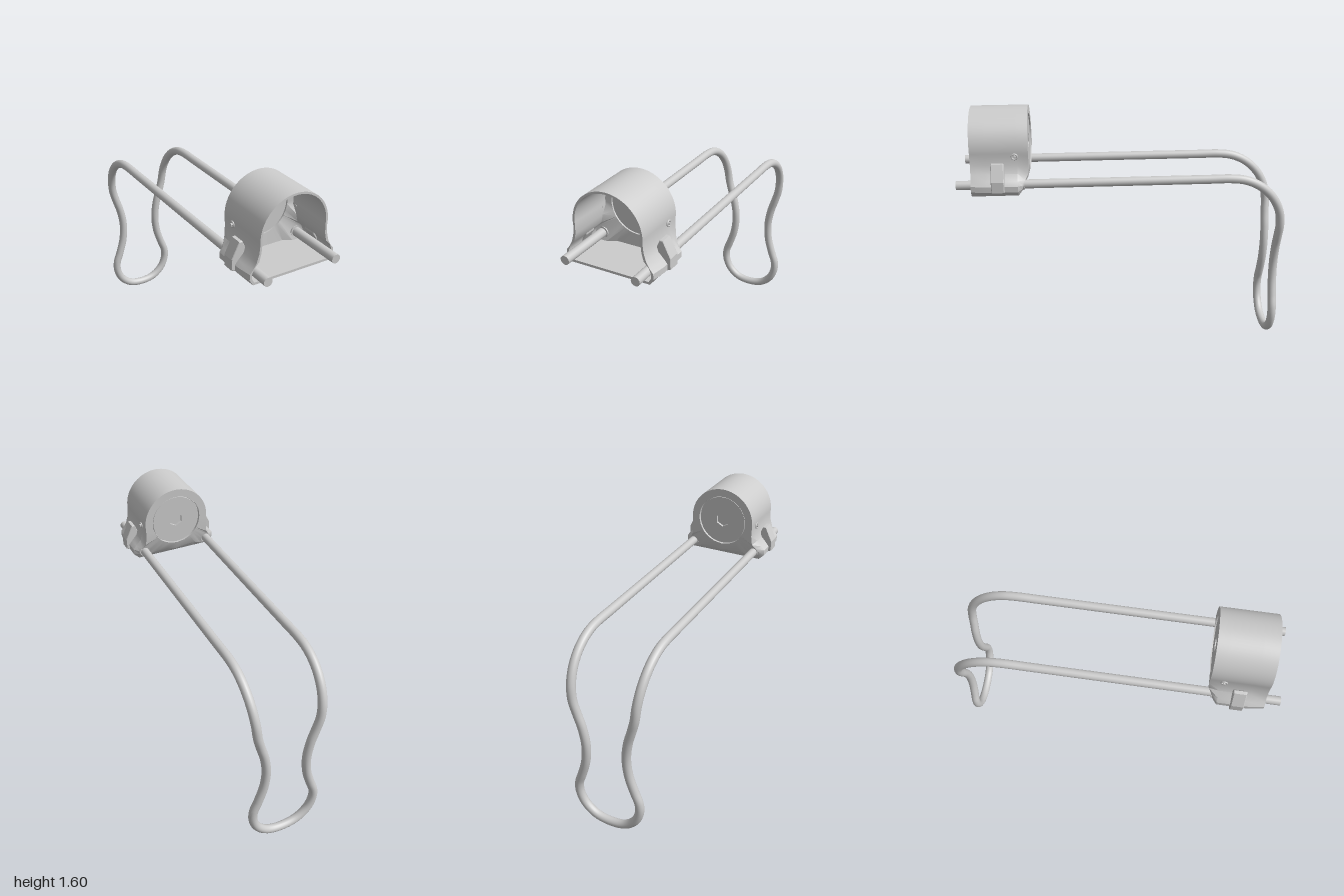
import * as THREE from 'three';
import { toCreasedNormals } from 'three/addons/utils/BufferGeometryUtils.js';

const CY = 1.385; // height of the housing bore axis
const ROD_X = 0.22, ROD_Y = 1.19, ROD_R = 0.027;

const material = new THREE.MeshStandardMaterial({ color: 0xcccccc });

function addMesh(parent, name, geometry, x = 0, y = 0, z = 0) {
  const mesh = new THREE.Mesh(geometry, material);
  mesh.name = name;
  mesh.position.set(x, y, z);
  parent.add(mesh);
  return mesh;
}

// Full symmetric ring: round crown plus a mirrored lower profile [x, y, z].
function ring(radius, z, lower) {
  const half = [];
  for (let i = 0; i <= 18; i++) {
    const a = (i / 18) * 1.68;
    half.push([radius * Math.sin(a), CY + radius * Math.cos(a), z]);
  }
  lower.forEach(([x, y, pz]) => half.push([x, y, pz ?? z]));
  const mirrored = half.slice(1, -1).reverse().map(([x, y, pz]) => [-x, y, pz]);
  return [...half, ...mirrored];
}

// Project a ring onto the round bore.
function boreRing(source, radius, z) {
  return source.map(([x, y]) => {
    const a = Math.atan2(y - CY, x);
    return [radius * Math.cos(a), CY + radius * Math.sin(a), z];
  });
}

// Skin a closed sequence of rings.
function loft(rings) {
  const n = rings[0].length, index = [];
  for (let i = 0; i < rings.length; i++) {
    const r0 = i * n, r1 = ((i + 1) % rings.length) * n;
    for (let j = 0; j < n; j++) {
      const k = (j + 1) % n;
      index.push(r0 + j, r1 + j, r0 + k, r1 + j, r1 + k, r0 + k);
    }
  }
  const geometry = new THREE.BufferGeometry();
  geometry.setAttribute('position', new THREE.Float32BufferAttribute(rings.flat(2), 3));
  geometry.setIndex(index);
  return toCreasedNormals(geometry, 0.55);
}

function housingGeometry() {
  const back = ring(0.215, 0.57, [
    [0.212, 1.31, 0.57], [0.218, 1.25, 0.575], [0.238, 1.22, 0.595], [0.255, 1.195, 0.605],
    [0.253, 1.17, 0.61], [0.23, 1.15, 0.615], [0.19, 1.15, 0.61], [0.14, 1.175, 0.595],
    [0.07, 1.18, 0.585], [0, 1.165, 0.59]]);
  const outer = (lug) => [
    [0.218, 1.31], [0.232, 1.26], [lug - 0.02, 1.225], [lug, 1.2],
    [lug, 1.165], [0.25, 1.13], [0.19, 1.13], [0.14, 1.13], [0.07, 1.13], [0, 1.13]];
  const inner = (wedge) => [
    [0.205, 1.31, wedge], [0.217, 1.26, wedge], [0.245, 1.23, wedge], [0.258, 1.2, wedge],
    [0.258, 1.17, wedge], [0.243, 1.145, wedge], [0.19, 1.145, wedge], [0.14, 1.145],
    [0.07, 1.145], [0, 1.145]];
  const innerBack = ring(0.203, 0.625, inner(0.655));
  return loft([
    boreRing(back, 0.165, 0.57),
    back,
    ring(0.215, 0.635, outer(0.285)),
    ring(0.215, 0.82, outer(0.285)),
    ring(0.215, 0.91, outer(0.272)),
    ring(0.203, 0.91, inner()),
    innerBack,
    boreRing(innerBack, 0.165, 0.62),
  ]);
}

// Round plate with a hexagonal socket.
function plateGeometry() {
  const shape = new THREE.Shape().absarc(0, 0, 0.159, 0, Math.PI * 2);
  const hex = [];
  for (let i = 0; i < 6; i++) {
    const a = (i + 0.5) * Math.PI / 3;
    hex.push(new THREE.Vector2(0.045 * Math.cos(a), 0.045 * Math.sin(a)));
  }
  shape.holes.push(new THREE.Path(hex));
  return toCreasedNormals(new THREE.ExtrudeGeometry(shape,
    { depth: 0.04, bevelEnabled: false, curveSegments: 32 }), 0.5);
}

// One wire: straight arm, round bend, then a waisted loop and back.
function wireCurve() {
  const half = [1, 0.6, 0.2, -0.2, -0.5].map((z) => [ROD_X, ROD_Y, z]);
  for (let i = 0; i <= 6; i++) {
    const a = (i / 6) * Math.PI / 2;
    half.push([ROD_X - 0.022 * (i / 6) ** 3, 0.86 + 0.33 * Math.cos(a), -0.64 - 0.33 * Math.sin(a)]);
  }
  [[0.177, 0.78], [0.15, 0.69], [0.133, 0.57], [0.143, 0.45], [0.175, 0.34], [0.203, 0.26],
    [0.204, 0.19], [0.172, 0.11], [0.1, 0.048], [0, 0.029]]
    .forEach(([x, y]) => half.push([x, y, -0.97]));
  const all = [...half, ...half.slice(0, -1).reverse().map(([x, y, z]) => [-x, y, z])];
  return new THREE.CatmullRomCurve3(all.map((p) => new THREE.Vector3(...p)), false, 'centripetal');
}

// Side clip, cut from a bent profile.
function clipGeometry() {
  const profile = [[0.262, 1.15], [0.305, 1.17], [0.305, 1.235], [0.26, 1.33], [0.24, 1.33],
    [0.222, 1.29], [0.225, 1.24], [0.25, 1.2]].map((p) => new THREE.Vector2(...p));
  return new THREE.ExtrudeGeometry(new THREE.Shape(profile),
    { depth: 0.068, bevelEnabled: true, bevelSize: 0.003, bevelOffset: -0.003, bevelThickness: 0.004, bevelSegments: 1 });
}

export function createModel() {
  const model = new THREE.Group();
  model.name = 'wireArmBrace';

  addMesh(model, 'housing', housingGeometry());
  addMesh(model, 'endPlate', plateGeometry(), 0, CY, 0.577);
  addMesh(model, 'socketFloor', new THREE.CylinderGeometry(0.05, 0.05, 0.008, 24), 0, CY, 0.597)
    .rotation.x = Math.PI / 2;

  // Groove between plate and housing
  addMesh(model, 'plateSeat', new THREE.TorusGeometry(0.162, 0.006, 8, 64), 0, CY, 0.597);

  addMesh(model, 'wireLoop', new THREE.TubeGeometry(wireCurve(), 300, ROD_R, 18, false));

  for (const side of [1, -1]) {
    const name = side > 0 ? 'left' : 'right';

    // Closed wire end
    addMesh(model, name + 'WireEnd', new THREE.CircleGeometry(ROD_R, 18), side * ROD_X, ROD_Y, 1);

    // Collar where the wire leaves the back of the housing
    addMesh(model, name + 'Collar', new THREE.CylinderGeometry(0.034, 0.036, 0.05, 20), side * ROD_X, ROD_Y, 0.623)
      .rotation.x = -Math.PI / 2;

    // Side clip: a half turn carries it to the other side
    const clip = addMesh(model, name + 'Clip', clipGeometry(), 0, 0, side > 0 ? 0.716 : 0.784);
    if (side < 0) clip.rotation.y = Math.PI;

    // Small side screw with a raised rim
    const screw = new THREE.Group();
    screw.name = name + 'Screw';
    screw.position.set(side * 0.213, 1.36, 0.65);
    screw.rotation.y = side * Math.PI / 2;
    addMesh(screw, 'screwRim', new THREE.TorusGeometry(0.016, 0.005, 8, 24), 0, 0, 0.004);
    addMesh(screw, 'screwHead', new THREE.CylinderGeometry(0.008, 0.008, 0.03, 6)).rotation.x = Math.PI / 2;
    model.add(screw);
  }
  return model;
}
